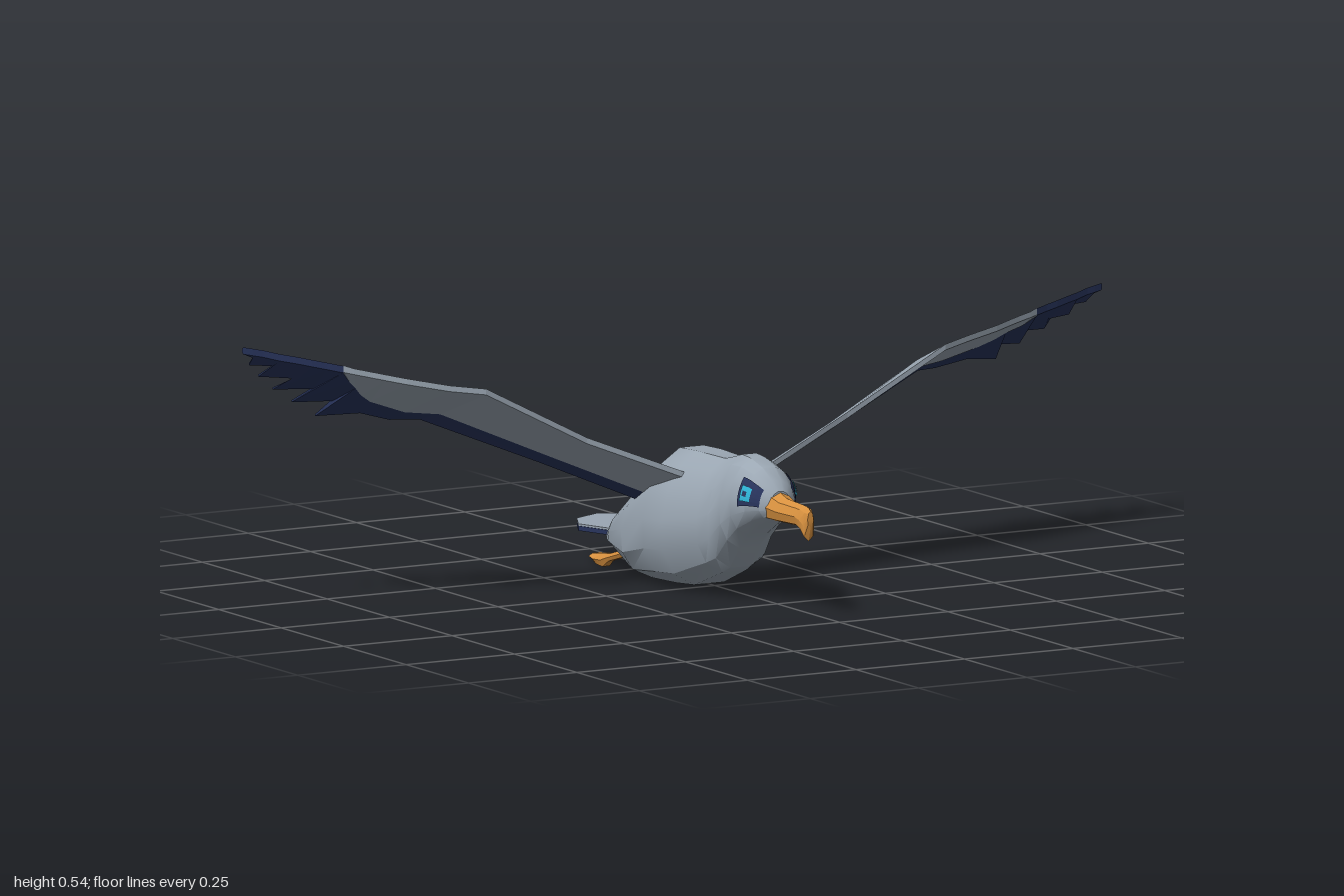
import * as THREE from 'three';
import { toCreasedNormals } from 'three/addons/utils/BufferGeometryUtils.js';

const CX = -0.03; // centre line of the body

const paint = (name, color, side = THREE.FrontSide) => {
  const m = new THREE.MeshStandardMaterial({ color, side });
  m.name = name;
  return m;
};

function add(parent, name, geometry, material) {
  const mesh = new THREE.Mesh(geometry, material);
  mesh.name = name;
  parent.add(mesh);
  return mesh;
}

function fromTriangles(tris, crease = 0) {
  const geo = new THREE.BufferGeometry();
  geo.setAttribute('position', new THREE.Float32BufferAttribute(tris.flat(2), 3));
  geo.computeVertexNormals();
  return crease ? toCreasedNormals(geo, crease) : geo;
}

// Point on an egg-shaped ring; station = [z, top, bottom, halfWidth]
function ringPoint([z, top, bottom, w], a, cx, off = 0) {
  const s = Math.sin(a), c = Math.cos(a);
  const x = Math.sign(c) * Math.pow(Math.abs(c), 0.85) * (w + off) * (1 - 0.14 * s);
  return [cx + x, (top + bottom) / 2 + s * ((top - bottom) / 2 + off), z];
}

// Closed skin through stations ordered from front to back
function loft(stations, sides, cx, crease) {
  const rings = stations.map(s => Array.from({ length: sides }, (_, j) =>
    ringPoint(s, (j / sides) * Math.PI * 2, cx)));
  const mid = s => [cx, (s[1] + s[2]) / 2, s[0]];
  const tris = [], n = rings.length - 1;
  for (let j = 0; j < sides; j++) {
    const k = (j + 1) % sides;
    tris.push([mid(stations[0]), rings[0][j], rings[0][k]]);
    tris.push([mid(stations[n]), rings[n][k], rings[n][j]]);
    for (let i = 0; i < n; i++) {
      const a = rings[i][j], b = rings[i + 1][j], c = rings[i + 1][k], d = rings[i][k];
      tris.push([a, b, c], [a, c, d]);
    }
  }
  return fromTriangles(tris, crease);
}

// Thin panel between a front edge and a rear edge, mirrored by side
function panel(front, rear, tFront, tRear, side) {
  const tris = [];
  const put = (p, dy) => [p[0] * side, p[1] + dy + (side < 0 ? 0.04 * Math.max(0, (p[0] - 0.6) / 0.39) : 0), p[2]];
  const quad = (a, b, c, d) => side > 0
    ? tris.push([a, b, c], [a, c, d]) : tris.push([a, c, b], [a, d, c]);
  const col = i => [put(front[i], tFront), put(rear[i], tRear), put(rear[i], -tRear), put(front[i], -tFront)];
  for (let i = 0; i < front.length - 1; i++) {
    const p = col(i), q = col(i + 1);
    for (let k = 0; k < 4; k++) quad(p[k], q[k], q[(k + 1) % 4], p[(k + 1) % 4]);
  }
  quad(...col(0));
  quad(...col(front.length - 1).reverse());
  return fromTriangles(tris);
}

const BODY = [
  [0.315, 0.245, 0.190, 0.025], [0.300, 0.265, 0.183, 0.042], [0.270, 0.288, 0.168, 0.058],
  [0.225, 0.302, 0.142, 0.066], [0.190, 0.305, 0.110, 0.069], [0.155, 0.295, 0.065, 0.076],
  [0.130, 0.289, 0.052, 0.088], [0.030, 0.290, 0.012, 0.110], [-0.040, 0.287, 0.006, 0.114],
  [-0.140, 0.215, 0.002, 0.106], [-0.250, 0.138, 0.035, 0.072], [-0.310, 0.093, 0.045, 0.042],
  [-0.325, 0.085, 0.060, 0.020],
];

// Body station interpolated at any z
function bodyAt(z) {
  const i = Math.max(1, BODY.findIndex(s => s[0] <= z));
  const a = BODY[i - 1], b = BODY[i], t = (a[0] - z) / (a[0] - b[0]);
  return a.map((v, k) => v + (b[k] - v) * t);
}

// Patch lying just above the head, between two z values and two angles
function headPatch(z0, z1, a0, a1, off, side) {
  const n = 5, tris = [];
  const at = (i, j) => {
    const p = ringPoint(bodyAt(z0 + (z1 - z0) * i / n), a0 + (a1 - a0) * j / n, 0, off);
    return [CX + side * p[0], p[1], p[2]];
  };
  for (let i = 0; i < n; i++) for (let j = 0; j < n; j++) {
    const a = at(i, j), b = at(i + 1, j), c = at(i + 1, j + 1), d = at(i, j + 1);
    if (side > 0) tris.push([a, b, c], [a, c, d]);
    else tris.push([a, c, b], [a, d, c]);
  }
  return fromTriangles(tris);
}

// Wing edges from root to tip
const LEAD = [
  [0.05, 0.225, 0.06], [0.30, 0.325, 0.01], [0.53, 0.443, 0.005], [0.60, 0.452, -0.02],
  [0.68, 0.460, -0.05], [0.72, 0.465, -0.068], [0.75, 0.469, -0.08], [0.78, 0.473, -0.09], [0.80, 0.476, -0.098],
];
const DIVIDE = [
  [0.05, 0.17, -0.06], [0.32, 0.285, -0.095], [0.55, 0.385, -0.145], [0.62, 0.39, -0.165],
  [0.70, 0.41, -0.165], [0.73, 0.425, -0.15], [0.75, 0.44, -0.135], [0.775, 0.455, -0.115],
  [0.80, 0.476, -0.098], [0.83, 0.48, -0.11], [0.86, 0.484, -0.12], [0.89, 0.488, -0.132],
  [0.92, 0.491, -0.145], [0.95, 0.496, -0.157], [0.97, 0.498, -0.163], [0.99, 0.5, -0.17],
];
// From the fourth point on, feather tips alternate with notches
const TRAIL = [
  [0.06, 0.15, -0.10], [0.33, 0.265, -0.135], [0.575, 0.365, -0.185], [0.63, 0.362, -0.21],
  [0.70, 0.375, -0.205], [0.785, 0.363, -0.237], [0.77, 0.40, -0.195], [0.84, 0.39, -0.237],
  [0.82, 0.425, -0.185], [0.89, 0.417, -0.225], [0.865, 0.448, -0.165], [0.935, 0.445, -0.205],
  [0.92, 0.472, -0.168], [0.965, 0.47, -0.19], [0.965, 0.487, -0.172], [0.992, 0.5, -0.171],
];

export function createModel() {
  const grey = paint('grey plumage', 0x9ba7b3);
  const navy = paint('navy feathers', 0x28345c, THREE.DoubleSide);
  const orange = paint('orange horn', 0xd8913f);
  const cyan = paint('cyan eye', 0x2fb4d6, THREE.DoubleSide);

  const bird = new THREE.Group();
  bird.name = 'seabird';

  add(bird, 'body', loft(BODY, 14, CX, 0.5), grey);

  // Hooked beak
  add(bird, 'beak', loft([
    [0.290, 0.250, 0.182, 0.034], [0.340, 0.234, 0.184, 0.027], [0.405, 0.231, 0.186, 0.021],
    [0.418, 0.230, 0.178, 0.018], [0.428, 0.228, 0.160, 0.013], [0.436, 0.222, 0.190, 0.007],
  ].reverse(), 8, CX, 0.4), orange);

  for (const side of [1, -1]) {
    const label = side > 0 ? 'left' : 'right';

    // Eye with dark mask
    add(bird, label + 'EyeMask', headPatch(0.303, 0.253, -0.22, 0.66, 0.003, side), navy);
    add(bird, label + 'Eye', headPatch(0.286, 0.263, -0.06, 0.42, 0.006, side), cyan);
    add(bird, label + 'Pupil', headPatch(0.279, 0.271, 0.1, 0.26, 0.008, side), navy);

    // Wing
    const wing = new THREE.Group();
    wing.name = label + 'Wing';
    bird.add(wing);
    add(wing, 'wingPanel', panel(LEAD, DIVIDE.slice(0, LEAD.length), 0.006, 0.008, side), grey);
    add(wing, 'flightFeathers', panel(DIVIDE, TRAIL, 0.007, 0.002, side), navy);

    // Trailing leg and webbed foot
    add(bird, label + 'Foot', loft([
      [-0.225, 0.052, 0.034, 0.010], [-0.285, 0.034, 0.017, 0.009], [-0.305, 0.034, 0.002, 0.014],
      [-0.325, 0.030, 0.006, 0.020], [-0.345, 0.027, 0.014, 0.017],
    ], 6, CX + side * 0.045, 0.4), orange);
  }

  // Fan tail, grey above and navy below
  const half = [[0.055, 0.23], [0.068, 0.28], [0.093, 0.35], [0.062, 0.41]];
  const outline = [...half, [0, 0.44], ...half.map(([x, y]) => [-x, y]).reverse()];
  const fan = new THREE.Shape(outline.map(([x, y]) => new THREE.Vector2(x - 0.02, y)));
  const tail = new THREE.Group();
  tail.name = 'tail';
  bird.add(tail);
  for (const [name, y, depth, mat] of [['tailTop', 0.083, 0.004, grey], ['tailUnderside', 0.073, 0.0095, navy]]) {
    const geo = new THREE.ExtrudeGeometry(fan, { depth, bevelEnabled: false });
    geo.rotateX(-Math.PI / 2);
    add(tail, name, geo, mat).position.y = y;
  }
  return bird;
}
